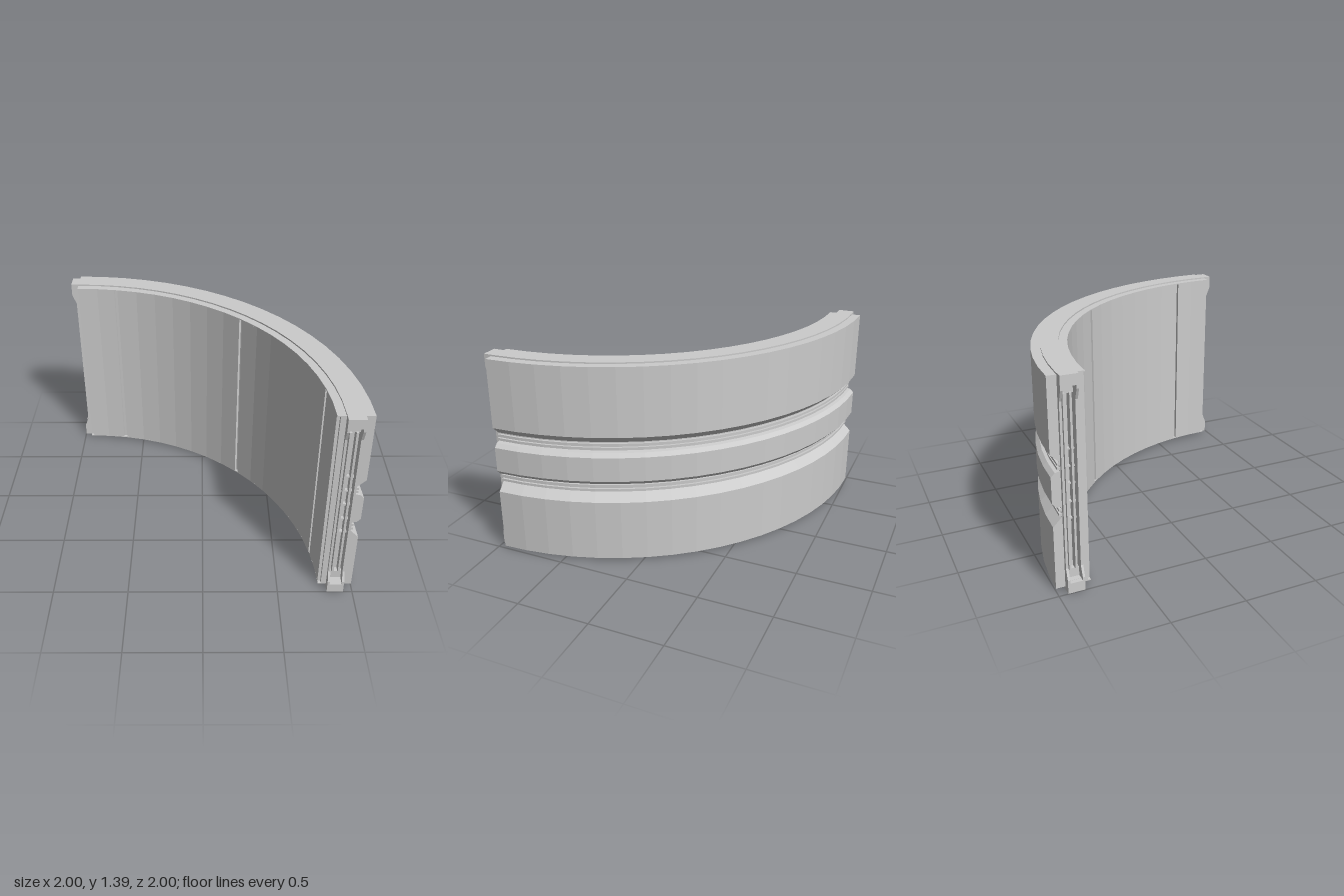
import * as THREE from 'three';

const CX = -0.945, CZ = 0.945;   // centre of the arc
const R_MID = 1.83;              // radius of the tongue centreline
const DEG = Math.PI / 180;

const material = new THREE.MeshStandardMaterial({
  color: 0xcccccc, flatShading: true, side: THREE.DoubleSide,
});

function addMesh(parent, name, geometry) {
  const flat = geometry.index ? geometry.toNonIndexed() : geometry;
  flat.computeVertexNormals();
  const mesh = new THREE.Mesh(flat, material);
  mesh.name = name;
  parent.add(mesh);
  return mesh;
}

function rectPath(x0, y0, x1, y1, Type = THREE.Path) {
  return new Type([[x0, y0], [x1, y0], [x1, y1], [x0, y1]].map(p => new THREE.Vector2(...p)));
}

function box(parent, name, x0, x1, y0, y1, z0, z1) {
  const g = new THREE.BoxGeometry(x1 - x0, y1 - y0, z1 - z0);
  g.translate((x0 + x1) / 2, (y0 + y1) / 2, (z0 + z1) / 2);
  return addMesh(parent, name, g);
}

// Sweep a closed (radius, height) profile from angle a to b, with end caps
function arc(name, profile, a, b, segments, hole) {
  const group = new THREE.Group();
  group.name = name;
  const pts = profile.map(p => new THREE.Vector2(...p));
  const start = (180 - b) * DEG, length = (b - a) * DEG;
  addMesh(group, name + 'Sides', new THREE.LatheGeometry([...pts, pts[0].clone()], segments, start, length));
  for (const phi of [start, start + length]) {
    const shape = new THREE.Shape(pts);
    if (hole) shape.holes.push(hole);
    addMesh(group, name + 'End', new THREE.ShapeGeometry(shape)).rotation.y = phi - Math.PI / 2;
  }
  group.position.set(CX, 0, CZ);
  return group;
}

// End tongue: local x is radial, y up, z points out of the wall end
function createTongue() {
  const g = new THREE.Group();
  g.name = 'endTongue';
  const w = 0.055, s = 0.04;               // half width of tongue and slot
  const y0 = 0.0, y1 = 1.395, yMid = (y0 + y1) / 2;

  // Slotted plate, set back into the wall end
  const plate = rectPath(-w, y0, w, y1, THREE.Shape);
  plate.holes.push(rectPath(-s, 0.07, s, 1.33));
  const plateGeo = new THREE.ExtrudeGeometry(plate, { depth: 0.075, bevelEnabled: false });
  addMesh(g, 'slottedPlate', plateGeo.translate(0, 0, -0.05));
  box(g, 'slotFloor', -s, s, 0.07, 1.33, -0.055, -0.045);

  // Vertical rails and small cross ties in the slot
  for (const x of [-0.02, 0.02]) box(g, 'slotRail', x - 0.007, x + 0.007, 0.13, 1.27, -0.05, 0.005);
  for (const y of [0.47, 0.58, 0.7, 0.81, 0.92]) box(g, 'slotTie', -s, s, y - 0.005, y + 0.005, -0.05, -0.02);

  // Projecting blocks at top and bottom, with ramped cheeks
  for (const side of [-1, 1]) {
    const at = d => yMid + side * (yMid - d);   // height at distance d from the end
    const cheek = new THREE.Shape([[0, 0], [0.053, 0], [0.053, 0.09], [0.025, 0.16], [0, 0.16]]
      .map(([z, d]) => new THREE.Vector2(-z, at(d))));
    for (const x of [-w, s]) {
      const geo = new THREE.ExtrudeGeometry(cheek, { depth: w - s, bevelEnabled: false });
      geo.rotateY(Math.PI / 2).translate(x, 0, 0);
      addMesh(g, 'rampedCheek', geo);
    }
    const ys = [at(0), at(0.068)].sort((a, b) => a - b);
    box(g, 'endBlock', -s, s, ys[0], ys[1], 0, 0.053);
    const ts = [at(0.068), at(0.13)].sort((a, b) => a - b);
    box(g, 'slotStop', -s, s, ts[0], ts[1], -0.05, -0.01);
  }
  return g;
}

export function createModel() {
  const model = new THREE.Group();
  model.name = 'curvedWallSection';

  // Main wall: two outer grooves, a middle band, low ridges on top and bottom
  const wall = [
    [1.72, 0.02], [1.775, 0.02], [1.775, 0], [1.885, 0], [1.885, 0.02], [1.945, 0.02],
    [1.945, 0.445], [1.89, 0.5], [1.89, 0.57], [1.92, 0.572], [1.945, 0.6],
    [1.945, 0.77], [1.92, 0.795], [1.89, 0.8], [1.89, 0.86], [1.945, 0.912],
    [1.945, 1.385], [1.885, 1.385], [1.885, 1.395], [1.775, 1.395], [1.775, 1.385],
    [1.72, 1.385], [1.72, 1.378], [1.74, 1.378], [1.74, 0.027], [1.72, 0.027],
  ];
  const slot = rectPath(R_MID - 0.04, 0.07, R_MID + 0.04, 1.33);
  model.add(arc('wall', wall, 0, 90, 18, slot));

  // Inner lining panels separated by narrow vertical gaps
  const lining = [[1.72, 0.027], [1.745, 0.027], [1.745, 1.378], [1.72, 1.378]];
  const joints = [0.2, 9.8, 45, 80.2, 89.8];
  for (let i = 0; i < 4; i++) {
    const a = joints[i] + 0.45, b = joints[i + 1] - 0.45;
    model.add(arc('liningPanel', lining, a, b, Math.max(2, Math.round((b - a) / 5))));
  }

  // Thin ribs running along the outer grooves
  for (const y of [0.518, 0.548, 0.818, 0.845]) {
    const rib = [[1.88, y - 0.008], [1.905, y - 0.008], [1.905, y + 0.008], [1.88, y + 0.008]];
    model.add(arc('grooveRib', rib, 0, 90, 18));
  }

  // Tongues at both ends
  const frontTongue = createTongue();
  frontTongue.position.set(CX + R_MID, 0, CZ);
  const sideTongue = createTongue();
  sideTongue.rotation.y = -Math.PI / 2;
  sideTongue.position.set(CX, 0, CZ - R_MID);
  model.add(frontTongue, sideTongue);

  return model;
}
